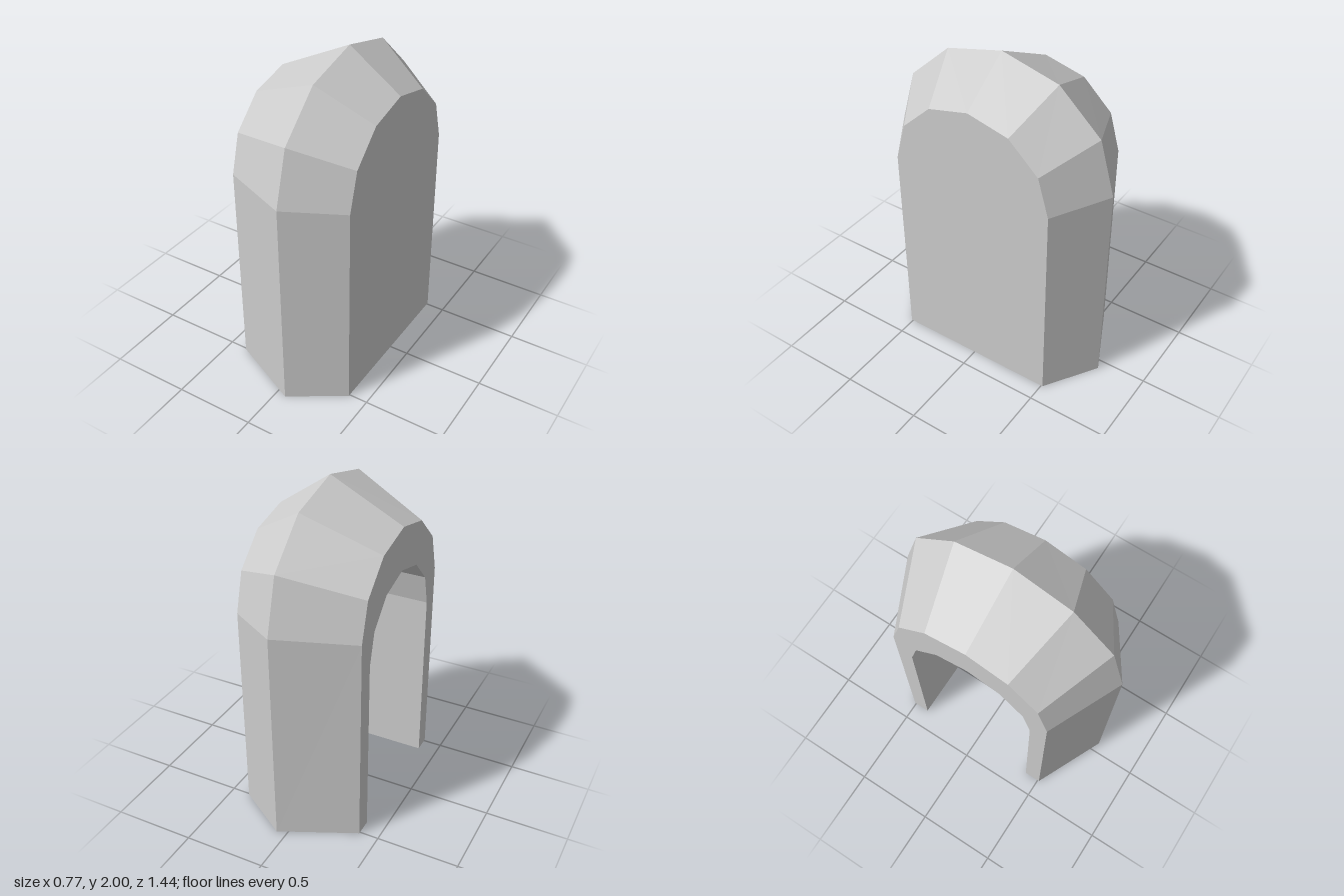
import * as THREE from 'three';

// Half-arch profiles [z, y], from the foot up to the crown
const SIDE = [[0.51, 0], [0.51, 1.305], [0.443, 1.54], [0.257, 1.715], [0, 1.777]];
const RIDGE = [[0.717, 0], [0.72, 1.335], [0.625, 1.667], [0.36, 1.91], [0, 2]];
const RECESS = [[0.405, 0], [0.405, 1.115], [0.355, 1.31], [0.205, 1.46], [0, 1.515]];
const OPEN_X = -0.383, RIDGE_X = 0.063, CLOSED_X = 0.383;

// Mirror a half profile into a full arch running from +z over the top to -z
const arch = (half) => [...half, ...half.slice(0, -1).reverse().map(([z, y]) => [-z, y])];
const row = (half, x) => arch(half).map(([z, y]) => [x, y, z]);

// Faceted strip between two arches
function strip(a, b) {
  const pos = [];
  for (let i = 0; i < a.length - 1; i++) {
    pos.push(...a[i], ...b[i], ...b[i + 1], ...a[i], ...b[i + 1], ...a[i + 1]);
  }
  const geo = new THREE.BufferGeometry();
  geo.setAttribute('position', new THREE.Float32BufferAttribute(pos, 3));
  geo.computeVertexNormals();
  return geo;
}

const flat = (points) => new THREE.ShapeGeometry(
  new THREE.Shape(points.map(([a, b]) => new THREE.Vector2(a, b))));

export function createModel() {
  const group = new THREE.Group();
  const material = new THREE.MeshStandardMaterial({ color: 0xcccccc, flatShading: true });
  const add = (name, geometry) => {
    const mesh = new THREE.Mesh(geometry, material);
    mesh.name = name;
    group.add(mesh);
  };

  // Shell: recess lining, open rim, then the two bevels meeting at the ridge
  const rows = [
    row(RECESS, RIDGE_X), row(RECESS, OPEN_X), row(SIDE, OPEN_X),
    row(RIDGE, RIDGE_X), row(SIDE, CLOSED_X),
  ];
  ['recessLining', 'openRim', 'openSideBevel', 'closedSideBevel'].forEach((name, i) =>
    add(name, strip(rows[i], rows[i + 1])));

  // Flat closed side and the wall at the back of the recess
  add('closedSide', flat(arch(SIDE)).rotateY(Math.PI / 2).translate(CLOSED_X, 0, 0));
  add('recessWall', flat(arch(RECESS)).rotateY(-Math.PI / 2).translate(RIDGE_X, 0, 0));

  // Underside: U-shaped footprint
  const foot = [
    ...rows.map((r) => [r[0][0], r[0][2]]),
    ...rows.map((r) => [r[0][0], -r[0][2]]).reverse(),
  ];
  add('underside', flat(foot).rotateX(Math.PI / 2));

  return group;
}
